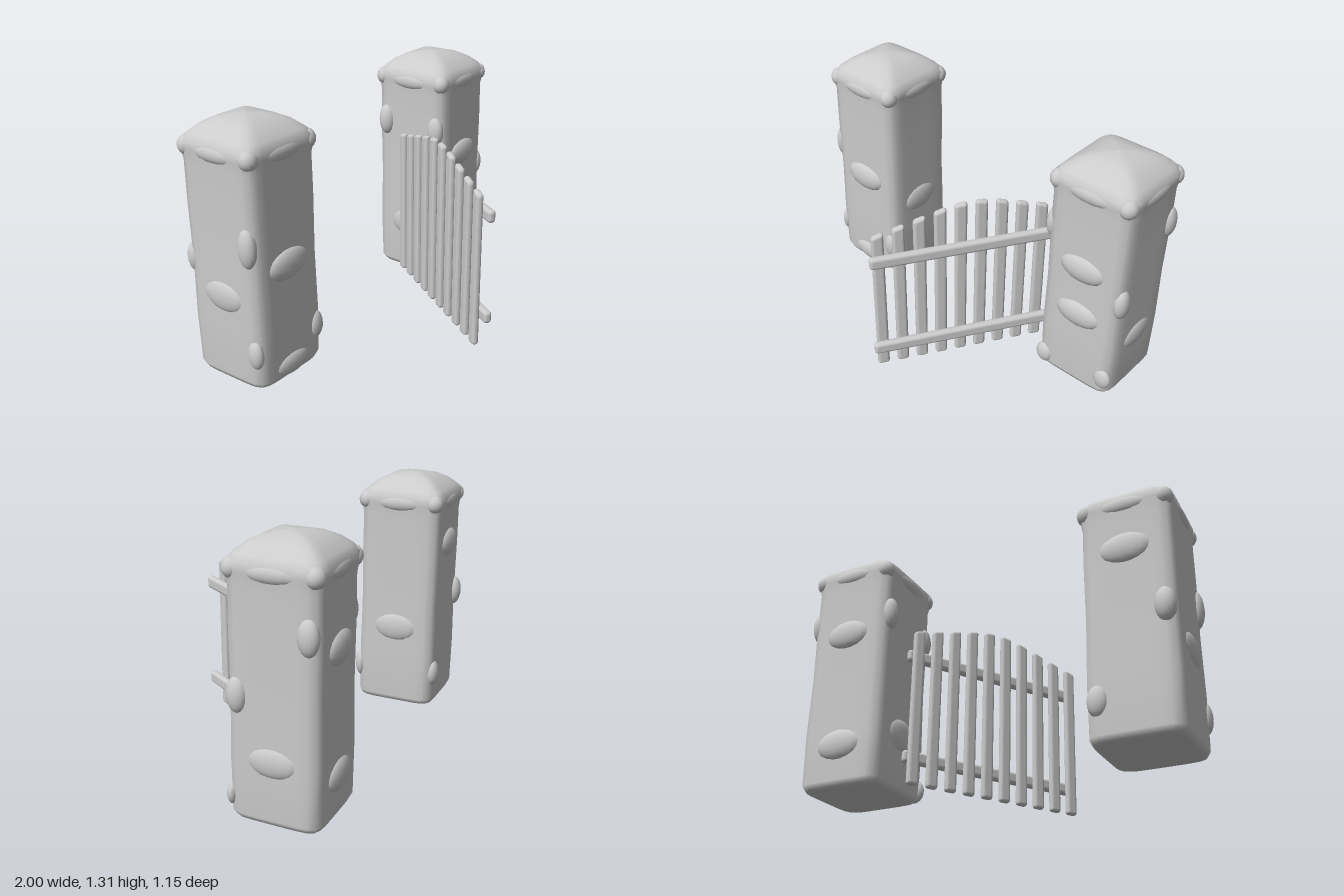
import * as THREE from 'three';
import { RoundedBoxGeometry } from 'three/addons/geometries/RoundedBoxGeometry.js';

const grey = new THREE.MeshStandardMaterial({ color: 0xcccccc });
const HALF = 0.222; // half width of a pillar

function add(parent, name, geometry, x = 0, y = 0, z = 0) {
  const mesh = new THREE.Mesh(geometry, grey);
  mesh.name = name;
  mesh.position.set(x, y, z);
  parent.add(mesh);
  return mesh;
}

// Rounded-square rings stacked from [height, half width, squareness]
function pillarBody() {
  const rings = [
    [0.006, 0, 7], [0.006, 0.19, 7], [0.014, 0.21, 7], [0.04, HALF, 8],
    [0.3, HALF + 0.002, 9], [0.6, HALF - 0.002, 9], [0.9, HALF + 0.001, 9],
    [1.1, HALF, 9], [1.16, 0.23, 10], [1.2, 0.23, 10], [1.23, 0.205, 9],
    [1.265, 0.165, 8], [1.292, 0.115, 7], [1.306, 0.06, 5], [1.312, 0, 4],
  ];
  const N = 48, pos = [], index = [];
  rings.forEach(([y, r, p], j) => {
    for (let i = 0; i < N; i++) {
      const a = (i / N) * Math.PI * 2, c = Math.cos(a), s = Math.sin(a);
      const k = r / Math.pow(Math.abs(c) ** p + Math.abs(s) ** p, 1 / p);
      pos.push(k * s, y, k * c);
      if (j === 0) continue;
      const n = (i + 1) % N, lo = (j - 1) * N, hi = j * N;
      if (j > 1) index.push(lo + i, lo + n, hi + n);
      if (j === 1) index.push(lo + i, hi + n, hi + i);
      else if (j < rings.length - 1) index.push(lo + i, hi + n, hi + i);
    }
  });
  const g = new THREE.BufferGeometry();
  g.setAttribute('position', new THREE.Float32BufferAttribute(pos, 3));
  g.setIndex(index);
  g.computeVertexNormals();
  return g;
}

// Stones are [face, sideways offset, height, width, tall, bulge]
// face: 0 front, 1 left (+x), 2 back, 3 right (-x); offset is along x or z
function pillar(name, x, z, stones) {
  const group = new THREE.Group();
  group.name = name;
  group.position.set(x, 0, z);
  add(group, 'pillarBody', pillarBody());
  const stone = new THREE.SphereGeometry(0.5, 16, 10);
  for (const [face, u, y, w, h, bulge = 0.03] of stones) {
    const d = HALF - 0.012, sign = face === 0 || face === 1 ? 1 : -1;
    const alongZ = face % 2 === 1;
    const m = add(group, 'stone', stone, alongZ ? sign * d : u, y, alongZ ? u : sign * d);
    const depth = 2 * (bulge + 0.012);
    m.scale.set(alongZ ? depth : w, h, alongZ ? w : depth);
  }
  // long stones under the cap, and knobs at its corners
  for (let face = 0; face < 4; face++) {
    const sign = face < 2 ? 1 : -1, d = sign * (HALF - 0.012), alongZ = face % 2 === 1;
    const m = add(group, 'capStone', stone, alongZ ? d : 0, 1.165, alongZ ? 0 : d);
    m.scale.set(alongZ ? 0.06 : 0.28, 0.085, alongZ ? 0.28 : 0.06);
  }
  for (const sx of [-1, 1]) for (const sz of [-1, 1]) {
    const m = add(group, 'cornerKnob', stone, sx * 0.19, 1.17, sz * 0.19);
    m.scale.set(0.094, 0.1, 0.094);
  }
  return group;
}

function gate() {
  const group = new THREE.Group();
  group.name = 'gate';
  const start = new THREE.Vector2(-0.02, 0.57), end = new THREE.Vector2(0.53, -0.31);
  const along = end.clone().sub(start), turn = Math.atan2(along.x, along.y);
  const mid = start.clone().add(end).multiplyScalar(0.5);

  for (const y of [0.2, 0.755]) {
    const rail = add(group, 'rail', new RoundedBoxGeometry(0.042, 0.066, along.length(), 3, 0.018), mid.x, y, mid.y);
    rail.rotation.y = turn;
  }

  // pickets stand behind the rails, with slanted tops forming an arch
  const tops = [0.88, 0.908, 0.938, 0.966, 0.986, 0.986, 0.966, 0.938, 0.908, 0.88];
  tops.forEach((top, i) => {
    const t = i / (tops.length - 1), h = top - 0.04;
    const g = new RoundedBoxGeometry(0.036, h, 0.062, 3, 0.016);
    const p = g.attributes.position;
    const slope = (t < 0.5 ? 1 : -1) * (i === 4 || i === 5 ? 0.12 : 0.3);
    for (let v = 0; v < p.count; v++) {
      if (p.getY(v) > 0) p.setY(v, p.getY(v) + slope * p.getZ(v));
    }
    g.computeVertexNormals();
    const x = THREE.MathUtils.lerp(-0.037, 0.465, t), z = THREE.MathUtils.lerp(0.495, -0.305, t);
    add(group, 'picket', g, x, 0.04 + h / 2, z).rotation.y = turn;
  });
  return group;
}

export function createModel() {
  const model = new THREE.Group();
  model.name = 'gateway';
  model.add(
    pillar('rightPillar', -0.752, -0.315, [
      [0, 0, 0.61, 0.27, 0.16], [0, 0, 0.075, 0.24, 0.12, 0.02], [0, 0.18, 0.2, 0.09, 0.15, 0.02],
      [3, 0.17, 0.75, 0.1, 0.2, 0.026], [3, 0, 0.46, 0.25, 0.16, 0.02], [3, 0.18, 0.2, 0.09, 0.15, 0.018],
      [1, 0, 0.46, 0.25, 0.16, 0.02], [2, 0, 0.93, 0.25, 0.16],
      [2, -0.17, 0.6, 0.1, 0.17, 0.035], [2, 0.16, 0.2, 0.1, 0.15, 0.025],
    ]),
    pillar('leftPillar', 0.752, -0.315, [
      [0, 0, 0.74, 0.26, 0.15], [0, 0, 0.46, 0.26, 0.15],
      [0, 0.18, 0.12, 0.1, 0.12, 0.015], [0, -0.18, 0.08, 0.1, 0.12, 0.02],
      [1, 0, 0.32, 0.25, 0.15, 0.02], [1, 0.17, 0.61, 0.1, 0.17, 0.026], [1, -0.17, 0.92, 0.1, 0.17, 0.026],
      [2, 0, 0.82, 0.25, 0.16], [2, 0, 0.22, 0.25, 0.16],
      [3, -0.16, 0.92, 0.1, 0.18, 0.034], [3, 0.17, 0.9, 0.1, 0.17, 0.025], [3, 0, 0.3, 0.25, 0.18, 0.022],
    ]),
    gate(),
  );
  return model;
}
